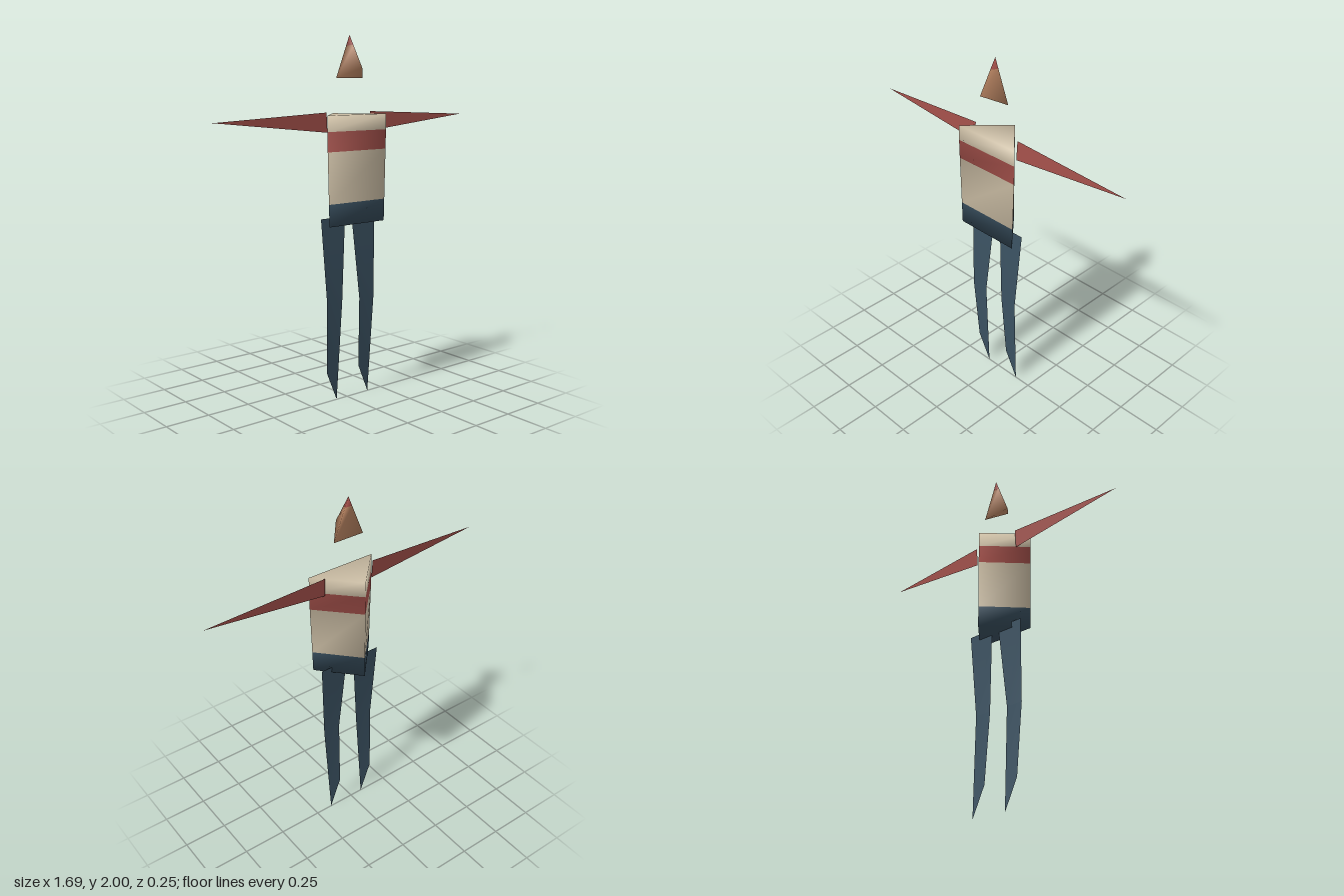
import * as THREE from 'three';
import { mergeVertices } from 'three/addons/utils/BufferGeometryUtils.js';

const flat = (name, color, side = THREE.FrontSide) => {
  const m = new THREE.MeshStandardMaterial({ color, side });
  m.name = name;
  return m;
};

// Closed, smooth-shaded solid through three-cornered rings, bottom to top.
// bandMats[i] colours the wall between ring i and ring i + 1.
function loft(name, rings, bandMats) {
  const index = [];
  const geo = new THREE.BufferGeometry();
  const last = rings.length - 1;
  const mats = [...new Set(bandMats)];
  for (let r = 0; r < last; r++) {
    const start = index.length;
    if (r === 0) index.push(0, 2, 1);
    for (let i = 0; i < 3; i++) {
      const a = r * 3 + i, b = r * 3 + (i + 1) % 3;
      index.push(a, b, b + 3, a, b + 3, a + 3);
    }
    if (r === last - 1) index.push(last * 3, last * 3 + 1, last * 3 + 2);
    geo.addGroup(start, index.length - start, mats.indexOf(bandMats[r]));
  }
  geo.setAttribute('position', new THREE.Float32BufferAttribute(rings.flat(2), 3));
  geo.setIndex(index);
  const merged = mergeVertices(geo);
  merged.computeVertexNormals();
  const mesh = new THREE.Mesh(merged, mats);
  mesh.name = name;
  return mesh;
}

// Thin open sheet: a strip of paired points, joined pair to pair.
function sheet(name, pairs, material) {
  const index = [];
  for (let i = 0; i < pairs.length - 1; i++) {
    const a = i * 2;
    index.push(a, a + 2, a + 3, a, a + 3, a + 1);
  }
  const geo = new THREE.BufferGeometry();
  geo.setAttribute('position', new THREE.Float32BufferAttribute(pairs.flat(2), 3));
  geo.setIndex(index);
  geo.computeVertexNormals();
  const mesh = new THREE.Mesh(geo, material);
  mesh.name = name;
  return mesh;
}

export function createModel() {
  const cream = flat('cream shirt', 0xcdbfa6);
  const red = flat('red cloth', 0xa3504a);
  const navy = flat('navy cloth', 0x3b5262);
  const skin = flat('skin', 0xb78361);
  const sleeve = flat('red sleeve', 0xa3504a, THREE.DoubleSide);
  const trousers = flat('navy trousers', 0x3b5262, THREE.DoubleSide);
  const model = new THREE.Group();
  model.name = 'figure';

  // Torso: tapered three-sided prism with coloured bands
  const ring = (y, w) => [[-w, y, 0.087], [w, y, 0.087], [0, y, -0.123]];
  model.add(loft('torso',
    [ring(1.0, 0.19), ring(1.12, 0.193), ring(1.395, 0.2), ring(1.5, 0.202), ring(1.585, 0.2)],
    [navy, cream, red, cream]));

  // Head: pointed wedge with a red tip
  model.add(loft('head', [
    [[-0.09, 1.775, 0.02], [0, 1.828, 0.125], [0.09, 1.775, 0.02]],
    [[-0.022, 1.945, 0.02], [0, 1.945, 0.054], [0.022, 1.945, 0.02]],
    [[0, 2, 0.02], [0, 2, 0.02], [0, 2, 0.02]],
  ], [skin, red]));

  // Arms: thin triangles reaching sideways
  for (const [side, s] of [['left', 1], ['right', -1]]) {
    const tip = [s * 0.845, 1.565, 0.024];
    model.add(sheet(side + 'Arm',
      [[[s * 0.15, 1.597, 0.014], [s * 0.15, 1.492, 0.021]], [tip, tip]], sleeve));
  }

  // Legs: thin strips bent at the knee, both feet slanting the same way
  model.add(sheet('rightLeg', [
    [[-0.187, 1.033, 0.01], [-0.023, 1.033, 0.01]],
    [[-0.166, 0.57, 0.034], [-0.062, 0.57, 0.034]],
    [[-0.15, 0.17, 0.009], [-0.075, 0, 0]],
  ], trousers));
  model.add(sheet('leftLeg', [
    [[0.023, 1.033, 0.01], [0.187, 1.033, 0.01]],
    [[0.06, 0.57, 0.034], [0.164, 0.57, 0.034]],
    [[0.075, 0.17, 0.009], [0.15, 0, 0]],
  ], trousers));

  return model;
}
